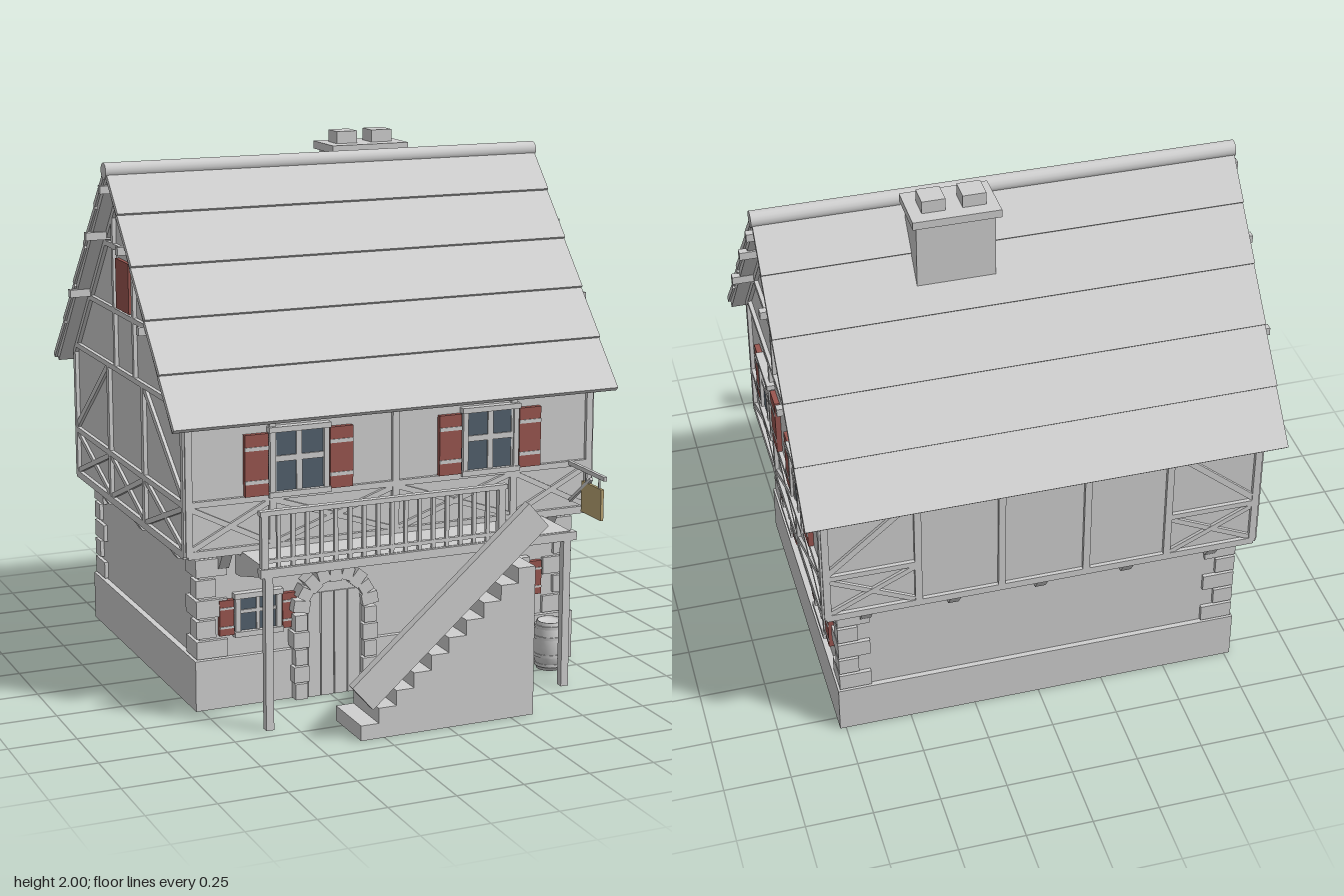
import * as THREE from 'three';

const mat = (name, color, side = THREE.FrontSide) => {
  const m = new THREE.MeshStandardMaterial({ color, side });
  m.name = name;
  return m;
};

export function createModel() {
  const house = new THREE.Group();
  house.name = 'timberFrameHouse';
  const grey = mat('paleGrey', 0xd0d0d0);
  const red = mat('shutterRed', 0x9a5650);
  const blue = mat('glassBlue', 0x52606d);
  const tan = mat('signTan', 0xbda876);
  const RZ = -0.198; // ridge line in z

  const add = (parent, name, geo, m, x = 0, y = 0, z = 0) => {
    const mesh = new THREE.Mesh(geo, m);
    mesh.name = name;
    mesh.position.set(x, y, z);
    parent.add(mesh);
    return mesh;
  };
  const box = (parent, name, m, w, h, d, x, y, z) =>
    add(parent, name, new THREE.BoxGeometry(w, h, d), m, x, y, z);
  // straight timber between two points of a wall plane
  const bar = (parent, name, x1, y1, x2, y2, t = 0.024, d = 0.03, z = 0) => {
    const b = box(parent, name, grey, Math.hypot(x2 - x1, y2 - y1), t, d, (x1 + x2) / 2, (y1 + y2) / 2, z);
    b.rotation.z = Math.atan2(y2 - y1, x2 - x1);
    return b;
  };
  // (z, y) outline extruded along x, centred
  const prism = (parent, name, pts, width, x = 0, y = 0, z = 0) => {
    const shape = new THREE.Shape(pts.map(p => new THREE.Vector2(...p)));
    const geo = new THREE.ExtrudeGeometry(shape, { depth: width, bevelEnabled: false });
    geo.translate(0, 0, -width / 2).rotateY(-Math.PI / 2);
    return add(parent, name, geo, grey, x, y, z);
  };
  // wall frame: local x along the wall, z outward
  const wall = (name, angle, dist) => {
    const g = new THREE.Group();
    g.name = name;
    g.rotation.y = angle;
    g.position.set(Math.sin(angle) * dist, 0, RZ + Math.cos(angle) * dist);
    house.add(g);
    return g;
  };

  // Main masses
  box(house, 'plinth', grey, 1.545, 0.19, 1.22, 0, 0.095, RZ);
  box(house, 'groundFloor', grey, 1.5, 0.42, 1.18, 0, 0.39, RZ);
  prism(house, 'upperFloor', [[-0.643, 0.59], [0.643, 0.59], [0.643, 1.115], [0, 1.868], [-0.643, 1.115]], 1.62, 0, 0, RZ);

  // Window with cross bars, sill and hinged shutters
  const addWindow = (g, u, y0, y1, half, outer) => {
    const w = new THREE.Group();
    w.name = 'window';
    w.position.set(u, (y0 + y1) / 2, 0);
    g.add(w);
    const h = y1 - y0, t = h * 0.09;
    box(w, 'glass', blue, half * 2, h, 0.008, 0, 0, 0.008);
    box(w, 'crossBarVertical', grey, t, h, 0.02, 0, 0, 0.008);
    box(w, 'crossBarHorizontal', grey, half * 2, t, 0.02, 0, 0.01, 0.008);
    for (const s of [-1, 1]) {
      box(w, 'jamb', grey, 0.02, h, 0.04, s * (half - 0.01), 0, 0.005);
      box(w, s > 0 ? 'lintel' : 'sill', grey, half * 2 + 0.01, 0.02, 0.05, 0, s * h / 2, 0.005);
      const sw = outer - half - 0.005, sx = s * (outer - sw / 2), sh = h - 0.012;
      box(w, 'shutter', red, sw, sh, 0.02, sx, -0.006, 0.01);
      for (const k of [-0.27, 0.27]) box(w, 'shutterStrap', grey, sw, sh * 0.06, 0.006, sx, k * sh - 0.006, 0.02);
    }
  };

  // Timber framing and corbels on all four walls
  const sides = [
    { name: 'front', angle: 0, up: 0.643, low: 0.59, half: 0.81, studs: [-0.485, 0, 0.485], corbels: [-0.66, -0.4, 0, 0.4, 0.66] },
    { name: 'right', angle: Math.PI / 2, up: 0.81, low: 0.75, half: 0.643, studs: [-0.205, 0.205], corbels: [-0.41, 0, 0.41], gable: true },
    { name: 'back', angle: Math.PI, up: 0.643, low: 0.59, half: 0.81, studs: [-0.47, -0.16, 0.16, 0.47], corbels: [-0.66, -0.33, 0, 0.33, 0.66] },
    { name: 'left', angle: -Math.PI / 2, up: 0.81, low: 0.75, half: 0.643, studs: [-0.205, 0.205], corbels: [-0.41, 0, 0.41], gable: true },
  ];
  for (const s of sides) {
    const up = wall(s.name + 'UpperWall', s.angle, s.up);
    const low = wall(s.name + 'LowerWall', s.angle, s.low);
    const blind = s.name === 'back' || s.name === 'left';
    const top = s.gable ? 1.14 : 1.09;
    bar(up, 'sillBeam', -s.half, 0.605, s.half, 0.605, 0.028);
    bar(up, 'topBeam', -s.half, top, s.half, top, 0.02);
    for (const u of [-s.half + 0.005, ...s.studs, s.half - 0.005]) bar(up, 'stud', u, 0.6, u, top, 0.026);
    const edges = [-s.half, ...s.studs, s.half];
    for (let i = 0; i < edges.length - 1; i++) {
      const a = edges[i], b = edges[i + 1], last = edges.length - 2;
      if (s.name === 'back' && i > 0 && i < last) continue;
      bar(up, 'midRail', a, 0.79, b, 0.79, 0.022);
      bar(up, 'crossBrace', a, 0.615, b, 0.78, 0.02, 0.024);
      bar(up, 'crossBrace', a, 0.78, b, 0.615, 0.02, 0.022);
      if (blind && i === 0) bar(up, 'diagonalBrace', a, 0.8, b, top, 0.024, 0.024);
      if (blind && i === last) bar(up, 'diagonalBrace', a, top, b, 0.8, 0.024, 0.024);
    }
    for (const u of s.corbels) prism(low, 'corbel', [[0, 0.53], [0.02, 0.53], [0.06, 0.59], [0.06, 0.6], [0, 0.6]], 0.04, u);

    if (s.gable) {
      bar(up, 'lowerCollar', -0.425, 1.365, 0.425, 1.365, 0.02);
      bar(up, 'upperCollar', -0.215, 1.61, 0.215, 1.61, 0.02);
      for (const m of [-1, 1]) {
        bar(up, 'gableStud', m * 0.114, 1.15, m * 0.114, 1.72, 0.02);
        bar(up, 'gableRafter', m * 0.64, 1.115, 0, 1.86, 0.03);
        box(up, 'purlinEnd', grey, 0.028, 0.03, 0.1, m * 0.19, 1.64, 0.045);
        box(up, 'purlinEnd', grey, 0.028, 0.03, 0.1, m * 0.415, 1.385, 0.045);
      }
      box(up, 'ridgePurlinEnd', grey, 0.028, 0.03, 0.1, 0, 1.84, 0.045);
      box(up, 'atticShutter', red, 0.152, 0.19, 0.03, 0, 1.475, 0);
    }
    if (s.name === 'front') {
      for (const u of [-0.384, 0.384]) addWindow(up, u, 0.8, 1.04, 0.115, 0.21);
      for (const u of [-0.527, 0.486]) addWindow(low, u, 0.275, 0.42, 0.09, 0.15);
    }
    if (s.name === 'right') {
      for (const u of [-0.28, 0.28]) addWindow(up, u, 0.8, 1.04, 0.105, 0.195);
      for (const u of [-0.3, 0.3]) addWindow(low, u, 0.275, 0.42, 0.09, 0.153);
    }
  }

  // Corner stones, long and short by turns
  for (const sx of [-1, 1]) for (const sz of [-1, 1]) for (let i = 0; i < 5; i++) {
    const w = i % 2 ? 0.075 : 0.12, d = i % 2 ? 0.065 : 0.115;
    const q = 0.765 - w / 2, r = 0.605 - d / 2;
    box(house, 'cornerStone', grey, w, 0.066, d, sx * q, 0.228 + i * 0.077, RZ + sz * r);
  }

  // Roof: base slab and five lapped courses on each slope
  for (const angle of [0, Math.PI]) {
    const turn = new THREE.Group();
    turn.name = 'roofSide';
    turn.position.set(0, 1.94, RZ);
    turn.rotation.y = angle;
    house.add(turn);
    const slope = new THREE.Group();
    slope.name = 'roofSlope';
    slope.rotation.x = 0.862;
    turn.add(slope);
    box(slope, 'roofSlab', grey, 1.75, 0.024, 1.1, 0, -0.034, 0.56);
    for (let i = 0; i < 5; i++) {
      const course = box(slope, 'roofCourse', grey, 1.766, 0.02, 0.23, 0, -0.015, (i + 0.5) * 0.224);
      course.rotation.x = -0.045;
    }
  }
  const ridge = add(house, 'ridgeCap', new THREE.CylinderGeometry(0.031, 0.031, 1.775, 16), grey, 0, 1.908, RZ);
  ridge.rotation.z = Math.PI / 2;

  // Chimney
  box(house, 'chimneyShaft', grey, 0.285, 0.5, 0.16, 0.207, 1.68, -0.338);
  box(house, 'chimneyCap', grey, 0.318, 0.03, 0.196, 0.207, 1.938, -0.34);
  for (const x of [0.133, 0.279]) box(house, 'chimneyPot', grey, 0.085, 0.048, 0.085, x, 1.976, -0.346);

  // Arched door with stone surround
  const door = new THREE.Group();
  door.name = 'door';
  door.position.set(-0.235, 0, 0.39);
  house.add(door);
  const leaf = new THREE.Shape();
  leaf.moveTo(-0.11, 0).lineTo(0.11, 0).lineTo(0.11, 0.335).absarc(0, 0.335, 0.11, 0, Math.PI).lineTo(-0.11, 0);
  add(door, 'doorLeaf', new THREE.ExtrudeGeometry(leaf, { depth: 0.035, bevelEnabled: false }), grey);
  for (let i = 0; i < 4; i++) box(door, 'doorPlank', grey, 0.048, 0.4, 0.006, -0.08 + i * 0.053, 0.2, 0.037);
  for (let i = 0; i < 9; i++) {
    const a = (i + 0.5) * Math.PI / 9, len = i % 2 ? 0.05 : 0.064;
    const stone = box(door, 'archStone', grey, len, 0.045, 0.06, Math.cos(a) * 0.138, 0.335 + Math.sin(a) * 0.138, 0.03);
    stone.rotation.z = a;
  }
  for (const s of [-1, 1]) for (let i = 0; i < 5; i++) {
    box(door, 'jambStone', grey, i % 2 ? 0.06 : 0.048, 0.06, 0.06, s * 0.138, 0.033 + i * 0.066, 0.03);
  }

  // Porch deck, posts and railing
  box(house, 'porchDeck', grey, 1.215, 0.025, 0.24, 0, 0.587, 0.565);
  box(house, 'porchBeam', grey, 1.255, 0.032, 0.03, 0, 0.582, 0.683);
  for (const x of [-0.595, 0.59]) {
    box(house, 'porchPost', grey, 0.03, 0.58, 0.03, x, 0.29, 0.68);
    prism(house, 'porchBracket', [[0.39, 0.5], [0.43, 0.5], [0.665, 0.56], [0.665, 0.58], [0.39, 0.58]], 0.025, x);
  }
  box(house, 'handrail', grey, 0.965, 0.018, 0.026, -0.145, 0.8, 0.685);
  box(house, 'bottomRail', grey, 0.95, 0.014, 0.016, -0.145, 0.625, 0.685);
  for (let i = 0; i <= 17; i++) {
    const t = i === 0 || i === 17 ? 0.026 : 0.014;
    box(house, 'baluster', grey, t, 0.2, t, -0.61 + i * 0.0545, 0.7, 0.685);
  }

  // Outside stair and its sloping side board
  for (let i = 0; i < 10; i++) {
    const h = 0.056 * (i + 1);
    box(house, 'stairStep', grey, 0.068, h, 0.225, -0.306 + i * 0.068, h / 2, 0.805);
  }
  const board = box(house, 'stairSideBoard', grey, 0.905, 0.12, 0.034, 0.005, 0.454, 0.908);
  board.rotation.z = 0.716;

  // Hanging sign
  box(house, 'signArm', grey, 0.014, 0.016, 0.28, 0.725, 0.795, 0.59);
  const brace = box(house, 'signBrace', grey, 0.012, 0.012, 0.2, 0.725, 0.71, 0.545);
  brace.rotation.x = -0.65;
  box(house, 'signBoard', tan, 0.012, 0.12, 0.15, 0.725, 0.69, 0.635);
  for (const z of [0.585, 0.685]) box(house, 'signHanger', grey, 0.006, 0.05, 0.006, 0.725, 0.77, z);

  // Barrels
  const profile = [[0, 0], [0.05, 0], [0.061, 0.05], [0.065, 0.095], [0.061, 0.14], [0.05, 0.19], [0.046, 0.19], [0.046, 0.18], [0, 0.18]];
  for (const x of [0.49, 0.64]) {
    add(house, 'barrel', new THREE.LatheGeometry(profile.map(p => new THREE.Vector2(...p)), 18), grey, x, 0, 0.48);
    for (const [y, r] of [[0.02, 0.055], [0.06, 0.0625], [0.13, 0.0625], [0.17, 0.055]]) {
      add(house, 'barrelHoop', new THREE.CylinderGeometry(r + 0.003, r + 0.003, 0.012, 18), grey, x, y, 0.48);
    }
  }
  return house;
}
